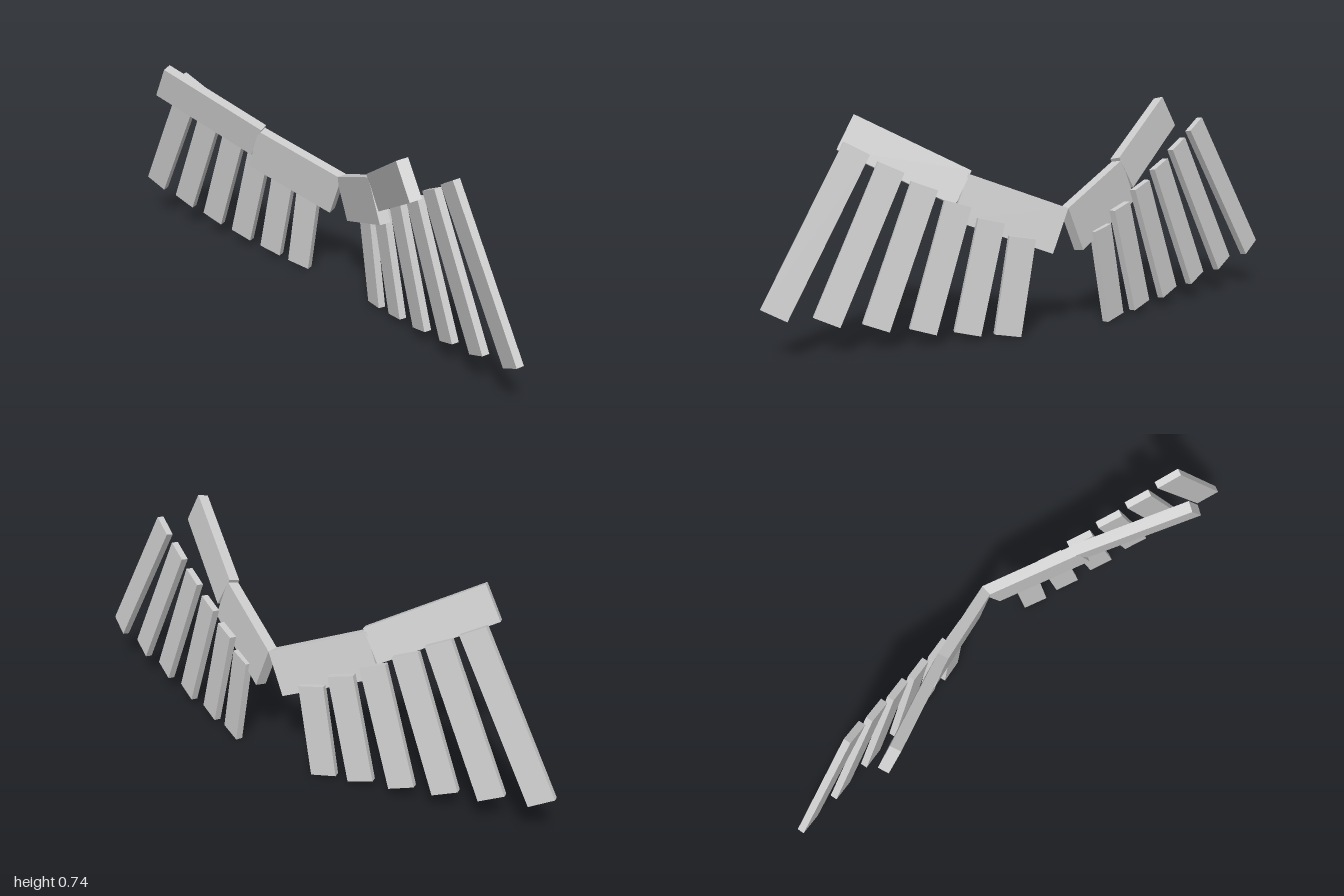
import * as THREE from 'three';

const rad = THREE.MathUtils.degToRad;

export function createModel() {
  const model = new THREE.Group();
  model.name = 'wings';
  const wingGrey = new THREE.MeshStandardMaterial({ color: 0xcccccc });
  wingGrey.name = 'wing grey';

  // A slab hung from one of its corners; anchor gives the direction from that
  // corner to the slab's middle. side mirrors it to the other wing.
  function slab(parent, side, name, size, anchor, pos, roll, yaw) {
    const geo = new THREE.BoxGeometry(...size);
    geo.translate(side * anchor[0] * size[0] / 2, anchor[1] * size[1] / 2, anchor[2] * size[2] / 2);
    const mesh = new THREE.Mesh(geo, wingGrey);
    mesh.name = name;
    mesh.position.set(side * pos[0], pos[1], pos[2]);
    mesh.rotation.set(0, -side * rad(yaw), side * rad(roll), 'ZYX');
    parent.add(mesh);
  }

  // Tip corner of each feather, outermost first
  const tipX = [0.914, 0.754, 0.6, 0.449, 0.302, 0.167];
  const tipY = [0.125, 0.09, 0.06, 0.035, 0.016, 0.001];

  for (const side of [1, -1]) {
    const wing = new THREE.Group();
    wing.name = side > 0 ? 'leftWing' : 'rightWing';

    // Two arm bones, sweeping up and forward
    slab(wing, side, 'innerArm', [0.353, 0.16, 0.038], [1, -1, 1], [0, 0.4225, -0.175], 22, 21.5);
    slab(wing, side, 'outerArm', [0.42, 0.127, 0.038], [-1, -1, 1], [0.62, 0.74, 0.14], 29.5, 26.5);

    // Fan of feathers, shorter and steeper towards the body
    for (let i = 0; i < 6; i++) {
      slab(wing, side, 'feather' + (i + 1), [0.09, 0.575 - 0.049 * i, 0.0245], [1, 1, -1],
        [tipX[i], tipY[i], 0.007 - 0.029 * i], 30 - 4 * i, 18);
    }
    model.add(wing);
  }
  return model;
}
